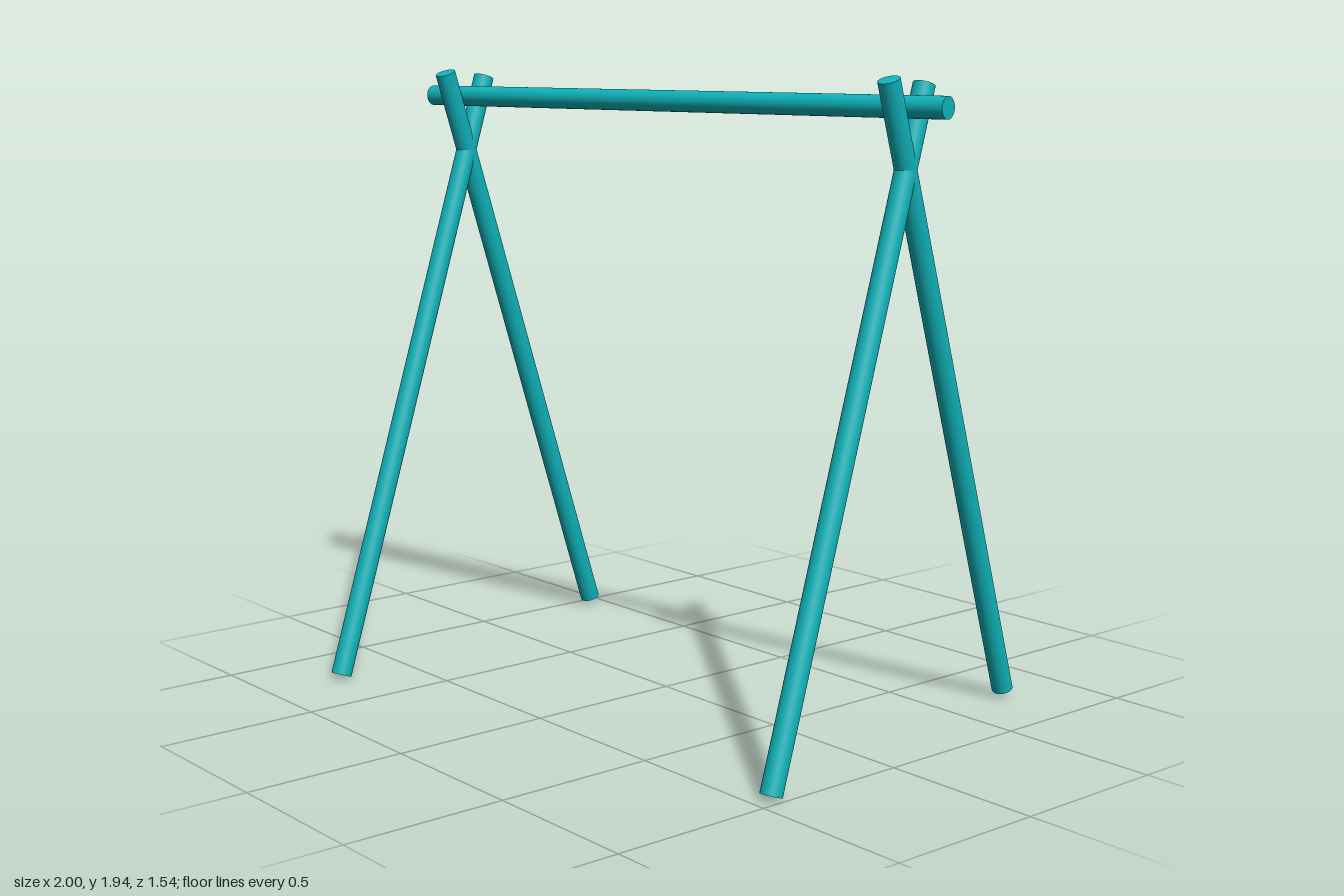
import * as THREE from 'three';

const RADIUS = 0.0325;

export function createModel() {
  const group = new THREE.Group();
  const material = new THREE.MeshStandardMaterial({ color: 0x0fb4ba });

  // Round pole with flat ends running between two points
  function addPole(parent, name, from, to) {
    const a = new THREE.Vector3(...from);
    const b = new THREE.Vector3(...to);
    const axis = b.clone().sub(a);
    const pole = new THREE.Mesh(
      new THREE.CylinderGeometry(RADIUS, RADIUS, axis.length(), 32), material);
    pole.name = name;
    pole.position.copy(a).add(b).multiplyScalar(0.5);
    pole.quaternion.setFromUnitVectors(new THREE.Vector3(0, 1, 0), axis.normalize());
    parent.add(pole);
  }

  // The whole frame is turned slightly about the vertical
  const frame = new THREE.Group();
  frame.name = 'swingFrame';
  frame.rotation.y = THREE.MathUtils.degToRad(10);
  group.add(frame);

  addPole(frame, 'topBar', [-1.01, 1.848, 0], [1.01, 1.848, 0]);

  // A pair of crossed legs near each end of the bar
  for (const [side, x] of [['left', 0.873], ['right', -0.863]]) {
    const legs = new THREE.Group();
    legs.name = side + 'Legs';
    legs.position.x = x;
    addPole(legs, side + 'FrontLeg', [0, 0.011, 0.6], [0, 1.91, -0.087]);
    addPole(legs, side + 'BackLeg', [0, 0.026, -0.598], [0, 1.924, 0.09]);
    frame.add(legs);
  }
  return group;
}
